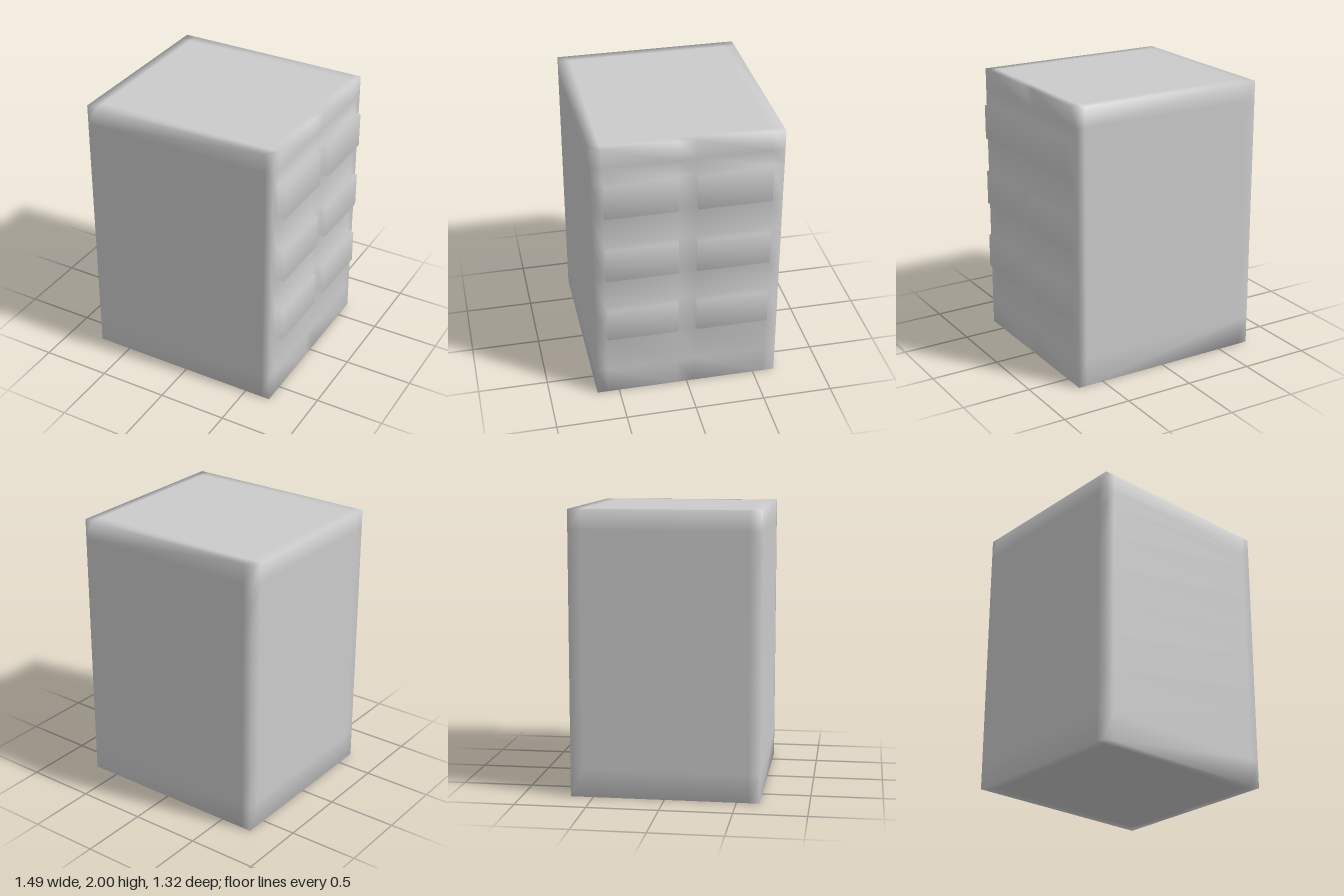
import * as THREE from 'three';
import { mergeVertices } from 'three/addons/utils/BufferGeometryUtils.js';

// Loop positions along each axis; the bands near the edges soften the shading
const X = [-0.745, -0.67, 0.63, 0.692];
const Y = [0, 0.2, 0.5, 0.75, 1, 1.25, 1.5, 1.75, 1.86, 2];
const Z = [-0.66, -0.572, -0.057, 0.075, 0.582, 0.66];
const PANEL_X = 0.745;

export function createModel() {
  const group = new THREE.Group();

  // Block: a gridded box whose rows and columns are moved onto the loops
  const box = new THREE.BoxGeometry(1, 1, 1, X.length - 1, Y.length - 1, Z.length - 1);
  const p = box.attributes.position;
  const snap = (v, loops) => loops[Math.round((v + 0.5) * (loops.length - 1))];
  const points = [];
  const side = box.groups[0]; // the +x side is rebuilt below
  for (let i = side.start + side.count; i < box.index.count; i++) {
    const k = box.index.getX(i);
    points.push(snap(p.getX(k), X), snap(p.getY(k), Y), snap(p.getZ(k), Z));
  }

  // Left side: flat cells, with six of them pushed out as raised panels
  const quad = (a, b, c, d) => points.push(...a, ...b, ...c, ...a, ...c, ...d);
  const corners = (x, j, k) => [
    [x, Y[j], Z[k]], [x, Y[j + 1], Z[k]], [x, Y[j + 1], Z[k + 1]], [x, Y[j], Z[k + 1]],
  ];
  for (let j = 0; j < Y.length - 1; j++) {
    for (let k = 0; k < Z.length - 1; k++) {
      const base = corners(X[3], j, k);
      const raised = [2, 4, 6].includes(j) && [1, 3].includes(k);
      if (!raised) {
        quad(...base);
        continue;
      }
      const face = corners(PANEL_X, j, k);
      quad(...face);
      for (let i = 0; i < 4; i++) {
        const n = (i + 1) % 4;
        quad(base[i], base[n], face[n], face[i]);
      }
    }
  }

  // Weld everything so the shading runs smoothly over all edges
  let geometry = new THREE.BufferGeometry();
  geometry.setAttribute('position', new THREE.Float32BufferAttribute(points, 3));
  geometry = mergeVertices(geometry);
  geometry.computeVertexNormals();
  const mesh = new THREE.Mesh(geometry, new THREE.MeshStandardMaterial({ color: 0xcccccc }));
  mesh.name = 'blockWithRaisedPanels';
  group.add(mesh);
  return group;
}
